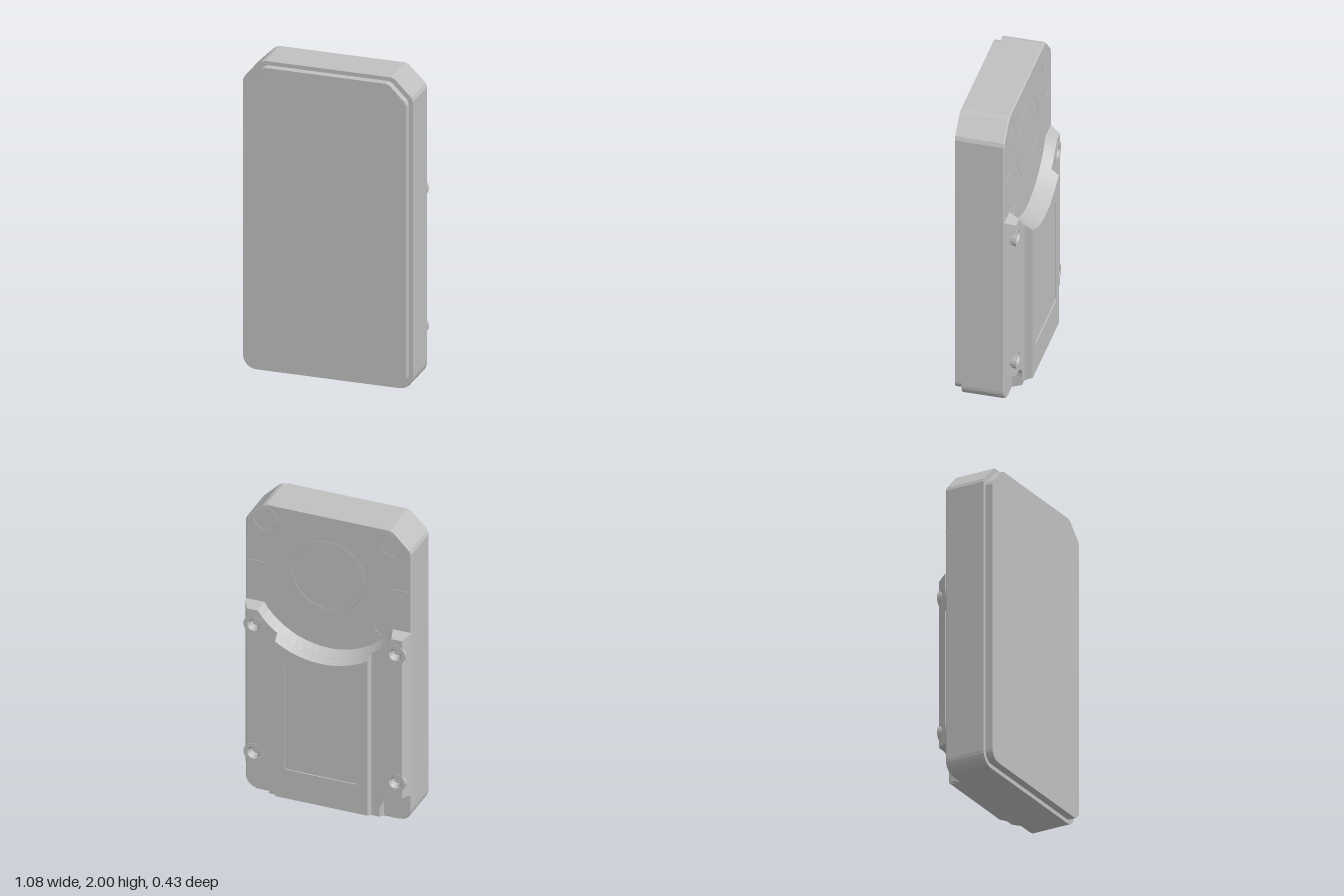
import * as THREE from 'three';

const grey = new THREE.MeshStandardMaterial({ color: 0xc0c0c0 });
grey.name = 'plain grey';

const P = (x, y) => new THREE.Vector2(x, y);

// Points along an arc, angles in degrees
function arc(cx, cy, r, a0, a1, n) {
  return Array.from({ length: n + 1 }, (_, i) => {
    const a = THREE.MathUtils.degToRad(a0 + (a1 - a0) * i / n);
    return P(cx + r * Math.cos(a), cy + r * Math.sin(a));
  });
}
const circle = (x, y, r) => arc(x, y, r, 0, 360, 20).slice(0, -1);

// Completes a right half outline (from bottom centre to top centre) by mirroring
const mirrored = half => [...half,
  ...half.filter(p => p.x > 1e-6).reverse().map(p => P(-p.x, p.y))];

// Skins matching outlines set at [points, z] levels, closing the back and optionally the front
function loft(name, levels, { holes = [], front = false } = {}) {
  const pos = [];
  const put = (p, z) => pos.push(p.x, p.y, z);
  for (let k = 0; k + 1 < levels.length; k++) {
    const [a, za] = levels[k], [b, zb] = levels[k + 1];
    a.forEach((p, i) => {
      const j = (i + 1) % a.length;
      put(p, za); put(b[i], zb); put(b[j], zb);
      put(p, za); put(b[j], zb); put(a[j], za);
    });
  }
  const cap = ([pts, z], cuts, back) => {
    const inner = cuts.map(h => [...h].reverse());
    const all = [pts, ...inner].flat();
    for (const f of THREE.ShapeUtils.triangulateShape([...pts], inner.map(h => [...h])))
      for (const i of back ? [f[2], f[1], f[0]] : f) put(all[i], z);
  };
  cap(levels[levels.length - 1], holes, true);
  if (front) cap(levels[0], [], false);
  const g = new THREE.BufferGeometry();
  g.setAttribute('position', new THREE.Float32BufferAttribute(pos, 3));
  g.computeVertexNormals();
  return named(name, g);
}
function named(name, geometry) {
  const m = new THREE.Mesh(geometry, grey);
  m.name = name;
  return m;
}

// Case outline: round bottom corners, softened chamfers at the top
function caseOutline(w, y0, y1, r, c) {
  return mirrored([P(0, y0), ...arc(w - r, y0 + r, r, -90, 0, 6),
    P(w, y1 - c), P(w - 0.01, y1 - c + 0.025), P(w - c + 0.025, y1 - 0.01), P(w - c, y1), P(0, y1)]);
}

const CY = 1.59; // centre of the round recess in the back

// Circular edge from height y on the right down to the centre line
function scoop(r, y, n) {
  const a = THREE.MathUtils.radToDeg(Math.asin((y - CY) / r));
  const pts = arc(0, CY, r, a, -90, n);
  pts[n].x = 0;
  return pts;
}

// Wide rear step with scooped top and notched bottom corners; t runs from base to face
function stepOutline(t) {
  const xo = 0.54 - 0.035 * t, yb = 0.005 + 0.025 * t, yt = 1.315 - 0.03 * t;
  return mirrored([P(0, yb), P(0.36, yb), ...arc(0.46, 0.09, 0.1, 180, 90, 6),
    P(xo, 0.19), P(xo, yt), ...scoop(0.5 + 0.03 * t, yt, 10)]);
}

// Raised middle of the rear step
function middleOutline(x, yb, r) {
  return mirrored([P(0, yb), P(x, yb), ...scoop(r, CY - Math.sqrt(r * r - x * x), 8)]);
}

export function createModel() {
  const model = new THREE.Group();
  model.name = 'deviceCase';

  // Main case and front panel
  const full = caseOutline(0.54, 0, 2, 0.085, 0.14);
  const edge = caseOutline(0.534, 0.006, 1.994, 0.08, 0.138);
  model.add(loft('caseBody', [[full, 0.165], [full, -0.092], [edge, -0.1]], { front: true }));
  const panel = caseOutline(0.514, 0.027, 1.975, 0.065, 0.13);
  model.add(loft('frontPanel', [[panel, 0.213], [panel, 0.16]], { front: true }));

  // Rear step with four screw holes
  const screws = [];
  for (const x of [-0.46, 0.46]) for (const y of [0.29, 1.18]) screws.push([x, y]);
  model.add(loft('rearStep', [[stepOutline(0), -0.099], [stepOutline(1), -0.165]],
    { holes: screws.map(([x, y]) => circle(x, y, 0.04)) }));

  // Screw bosses and their countersunk sockets
  for (const [x, y] of screws) {
    const outer = circle(x, y, 0.065), rim = circle(x, y, 0.04), bore = circle(x, y, 0.028);
    model.add(loft('screwBoss', [[outer, -0.099], [outer, -0.167]], { holes: [rim] }));
    model.add(loft('screwSocket', [[rim, -0.167], [bore, -0.15], [bore, -0.12]]));
  }

  // Raised middle with a shallow label recess
  const label = [...arc(0.22, 0.27, 0.02, -90, 0, 3), ...arc(0.22, 0.95, 0.02, 0, 90, 3),
    ...arc(-0.22, 0.95, 0.02, 90, 180, 3), ...arc(-0.22, 0.27, 0.02, 180, 270, 3)];
  model.add(loft('rearMiddle',
    [[middleOutline(0.307, 0.03, 0.53), -0.164], [middleOutline(0.3, 0.05, 0.552), -0.213]],
    { holes: [label] }));
  model.add(loft('labelRecess', [[label, -0.213], [label, -0.205]]));

  // Fine rings on the upper back
  const ring = (name, x, y, r, start, sweep) => {
    const g = new THREE.TorusGeometry(r, 0.004, 4, 40, THREE.MathUtils.degToRad(sweep));
    g.rotateZ(THREE.MathUtils.degToRad(start));
    const m = named(name, g);
    m.position.set(x, y, -0.099);
    model.add(m);
  };
  ring('centreRing', 0, CY, 0.235, 0, 360);
  ring('cornerRing', 0.41, 1.895, 0.078, 80, 290);
  ring('cornerRing', -0.41, 1.895, 0.078, 170, 290);

  // Fine radial marks around the ring
  for (const [deg, r0, r1] of [[0, 0.41, 0.53], [180, 0.41, 0.53], [-90, 0.4, 0.49],
    [-45, 0.42, 0.49], [-135, 0.42, 0.49], [90, 0.37, 0.4]]) {
    const a = THREE.MathUtils.degToRad(deg), r = (r0 + r1) / 2;
    const m = named('radialMark', new THREE.BoxGeometry(r1 - r0, 0.007, 0.006));
    m.position.set(r * Math.cos(a), CY + r * Math.sin(a), -0.1);
    m.rotation.z = a;
    model.add(m);
  }
  return model;
}
